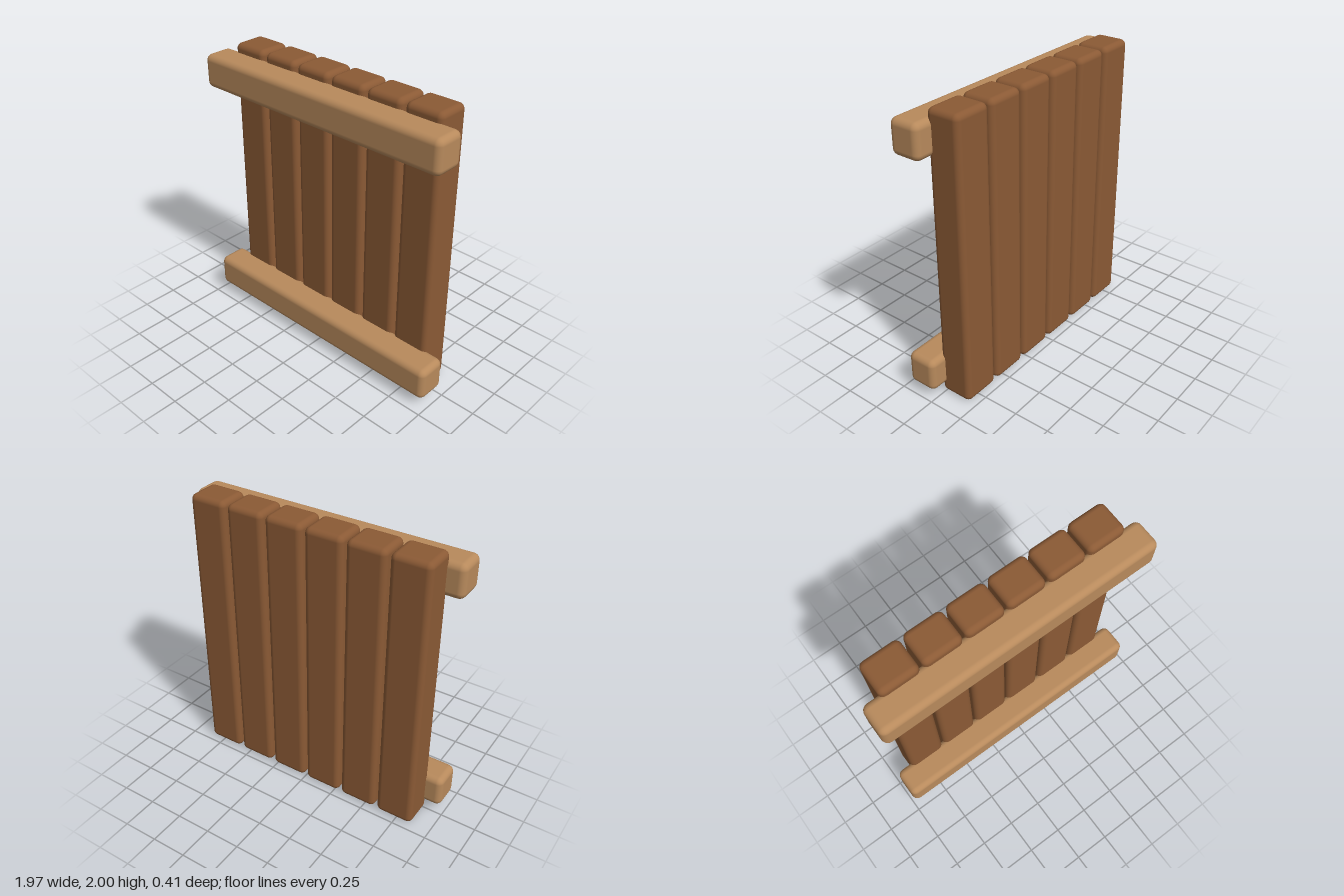
import * as THREE from 'three';
import { RoundedBoxGeometry } from 'three/addons/geometries/RoundedBoxGeometry.js';

export function createModel() {
  const group = new THREE.Group();
  group.name = 'plankPanel';

  const darkWood = new THREE.MeshStandardMaterial({ color: 0x8b5a35 });
  darkWood.name = 'darkWood';
  const lightWood = new THREE.MeshStandardMaterial({ color: 0xb88a5c });
  lightWood.name = 'lightWood';

  const add = (name, geometry, material, x, y, z) => {
    const mesh = new THREE.Mesh(geometry, material);
    mesh.name = name;
    mesh.position.set(x, y, z);
    group.add(mesh);
  };

  // Six upright planks with narrow gaps
  const plank = new RoundedBoxGeometry(0.272, 2, 0.235, 3, 0.04);
  for (let i = 0; i < 6; i++) {
    add(`plank${i + 1}`, plank, darkWood, -0.002 + (i - 2.5) * 0.2908, 1, -0.087);
  }

  // Two cross rails, set slightly into the front of the planks
  const rail = new RoundedBoxGeometry(1.965, 0.235, 0.215, 3, 0.045);
  add('lowerRail', rail, lightWood, 0, 0.183, 0.097);
  add('upperRail', rail, lightWood, 0, 1.82, 0.097);

  return group;
}
